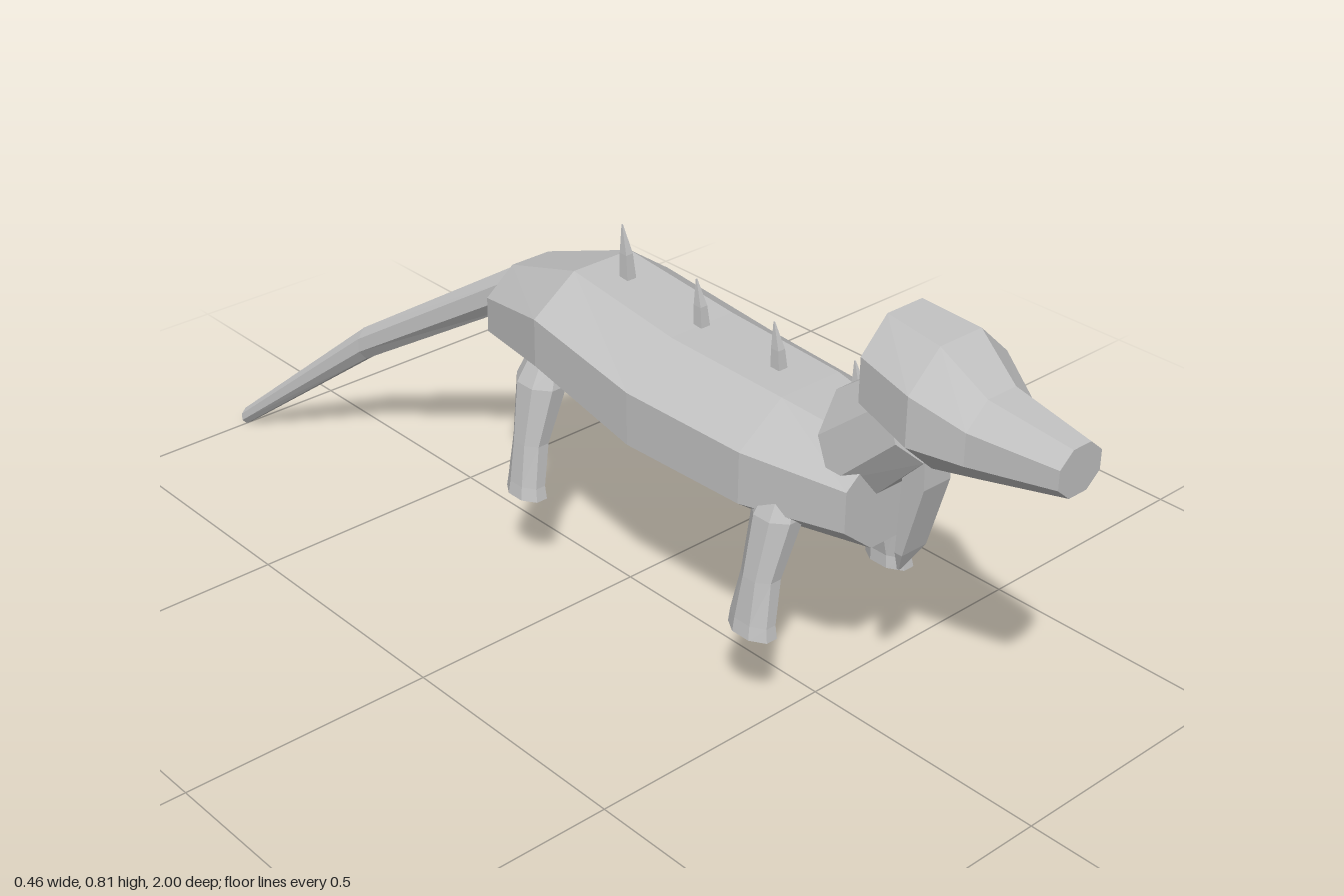
import * as THREE from 'three';

const MID = 0.028; // the body's centre line in x
const X = new THREE.Vector3(1, 0, 0), Y = new THREE.Vector3(0, 1, 0), Z = new THREE.Vector3(0, 0, 1);

// Closed faceted tube through sections [x, y, z, halfU, halfV]; u cross v points along the path.
function loft(sections, u, v, sides = 8) {
  const k = 1 / Math.cos(Math.PI / sides);
  const rings = sections.map(([x, y, z, a, b]) => Array.from({ length: sides }, (_, j) => {
    const t = (j + 0.5) * Math.PI * 2 / sides;
    return new THREE.Vector3(x, y, z)
      .addScaledVector(u, a * k * Math.cos(t))
      .addScaledVector(v, b * k * Math.sin(t));
  }));
  const pts = [];
  for (let i = 0; i < rings.length - 1; i++) {
    for (let j = 0; j < sides; j++) {
      const n = (j + 1) % sides;
      const a = rings[i][j], b = rings[i][n], c = rings[i + 1][n], d = rings[i + 1][j];
      pts.push(a, b, c, a, c, d);
    }
  }
  const first = rings[0], last = rings[rings.length - 1];
  for (let j = 1; j < sides - 1; j++) {
    pts.push(first[0], first[j + 1], first[j], last[0], last[j], last[j + 1]);
  }
  const geometry = new THREE.BufferGeometry().setFromPoints(pts);
  geometry.computeVertexNormals();
  return geometry;
}

export function createModel() {
  const model = new THREE.Group();
  const hide = new THREE.MeshStandardMaterial({ color: 0xc0c0c0, flatShading: true });
  hide.name = 'greyHide';
  const add = (name, geometry) => {
    const mesh = new THREE.Mesh(geometry, hide);
    mesh.name = name;
    model.add(mesh);
    return mesh;
  };

  // Long octagonal trunk
  add('body', loft([
    [MID, 0.475, -0.32, 0.108, 0.085],
    [MID, 0.515, -0.11, 0.164, 0.115],
    [MID, 0.475, 0.16, 0.178, 0.125],
    [MID, 0.47, 0.43, 0.166, 0.12],
    [MID, 0.472, 0.63, 0.115, 0.095],
  ], X, Y));

  // Tail hangs down and swings to the right
  add('tail', loft([
    [-0.212, 0.021, -1, 0.018, 0.019],
    [-0.093, 0.274, -0.7, 0.029, 0.036],
    [0.024, 0.515, -0.315, 0.043, 0.045],
  ], X, Y));

  // Neck rises out of the shoulders, its rings leaning back
  const lean = new THREE.Vector3(0, 0.93, -0.36);
  add('neck', loft([
    [MID, 0.545, 0.567, 0.106, 0.1],
    [MID, 0.655, 0.69, 0.085, 0.085],
  ], X, lean));

  // Head and tapering snout
  add('head', loft([
    [MID, 0.715, 0.63, 0.098, 0.1],
    [MID, 0.695, 0.75, 0.117, 0.11],
    [MID, 0.67, 0.84, 0.08, 0.072],
    [MID + 0.002, 0.673, 1, 0.05, 0.043],
  ], X, Y));

  // Pointed flap below the chin
  add('throatFlap', loft([
    [0.018, 0.335, 0.662, 0.002, 0.003],
    [0.032, 0.375, 0.672, 0.008, 0.03],
    [0.032, 0.52, 0.696, 0.024, 0.032],
    [0.032, 0.62, 0.69, 0.026, 0.033],
  ], Z, X, 4));

  // Legs, splayed outward with small feet
  for (const side of [-1, 1]) {
    const label = side > 0 ? 'Left' : 'Right';
    const x = (offset) => MID + side * offset;
    add('frontLeg' + label, loft([
      [x(0.172), 0.192, 0.48, 0.048, 0.029],
      [x(0.17), 0.217, 0.478, 0.045, 0.026],
      [x(0.155), 0.3, 0.48, 0.036, 0.029],
      [x(0.125), 0.415, 0.485, 0.046, 0.039],
      [x(0.11), 0.46, 0.485, 0.035, 0.03],
    ], Z, X));
    add('hindLeg' + label, loft([
      [x(0.172), 0.192, -0.133, 0.045, 0.029],
      [x(0.17), 0.217, -0.135, 0.041, 0.026],
      [x(0.155), 0.3, -0.138, 0.037, 0.029],
      [x(0.125), 0.415, -0.14, 0.052, 0.041],
      [x(0.11), 0.46, -0.14, 0.04, 0.03],
    ], Z, X));
  }

  // Row of thin spikes along the spine, leaning back
  const spikes = [[0.545, 0.59, 0.675], [0.355, 0.58, 0.675], [0.16, 0.59, 0.685], [-0.038, 0.615, 0.722]];
  spikes.forEach(([z, base, tip], i) => {
    add('backSpike' + (i + 1), loft([
      [MID, base, z, 0.011, 0.011],
      [MID, (base + tip) / 2, z - 0.005, 0.009, 0.008],
      [MID, tip, z - 0.016, 0.001, 0.001],
    ], Z, X, 4));
  });

  return model;
}
